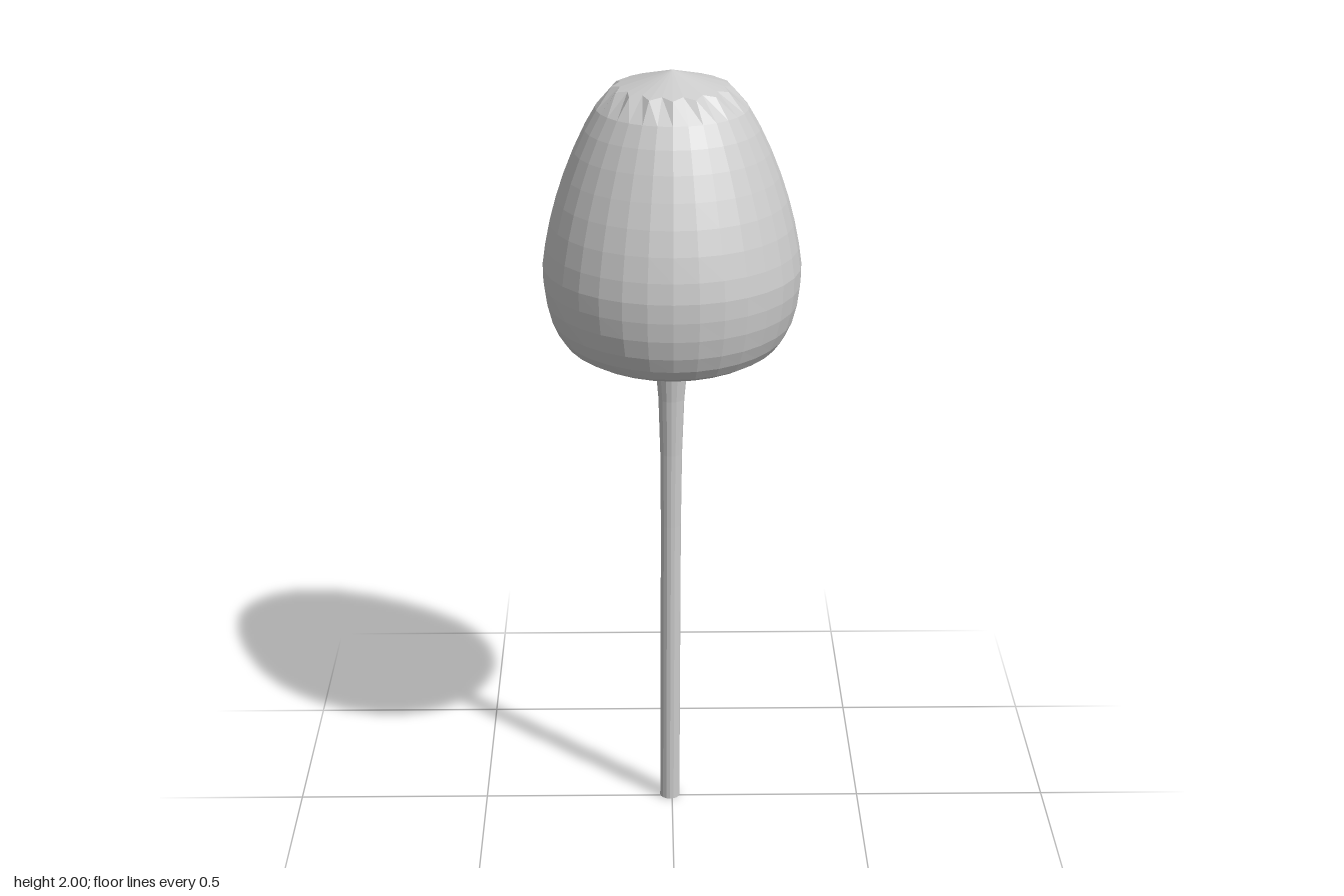
import * as THREE from 'three';

const SIDES = 32;
const v2 = (p) => p.map(([r, y]) => new THREE.Vector2(r, y));

function makeMesh(name, geometry) {
  const material = new THREE.MeshStandardMaterial({ color: 0xcccccc, flatShading: true, side: THREE.DoubleSide });
  const mesh = new THREE.Mesh(geometry, material);
  mesh.name = name;
  return mesh;
}

// Hollow cap: profile runs from the inner ceiling, down around the rim, up to the peak
function capGeometry() {
  const profile = v2([
    [0.06, 1.6], [0.15, 1.58], [0.21, 1.52], [0.245, 1.44], [0.258, 1.37], [0.25, 1.325],
    [0.235, 1.31], [0.25, 1.306], [0.27, 1.317], [0.287, 1.34], [0.303, 1.375], [0.315, 1.42],
    [0.321, 1.465], [0.322, 1.51], [0.315, 1.56], [0.303, 1.62], [0.287, 1.68], [0.267, 1.74],
    [0.243, 1.8], [0.217, 1.855], [0.188, 1.905], [0.147, 1.955], [0, 2],
  ]);
  const rows = profile.length;
  const geo = new THREE.LatheGeometry(profile, SIDES);
  const pos = geo.attributes.position;
  for (let i = 0; i < pos.count; i++) {
    const row = i % rows, segment = Math.floor(i / rows);
    let x = pos.getX(i), y = pos.getY(i), z = pos.getZ(i);
    const angle = (segment / SIDES) * Math.PI * 2;
    // pleats around the peak
    if (row === rows - 2 && segment % 2) {
      x *= 0.88; z *= 0.88; y += 0.006;
    }
    // lower wall swells to front and, more strongly, to the back
    const low = THREE.MathUtils.clamp((1.5 - y) / 0.2, 0, 1);
    z *= 1.025 + low * (z < 0 ? 0.1 : 0.04);
    // crown leans back while the peak stays centred
    if (row > 6 && row < rows - 1) z -= 0.013 * THREE.MathUtils.smoothstep(y, 1.5, 1.8);
    // rim dips at front and back
    y -= 0.012 * low * Math.cos(angle) ** 2;
    pos.setXYZ(i, x, y, z);
  }
  geo.computeVertexNormals();
  return geo;
}

// Slim stem flaring into the ceiling of the cap
function stemGeometry() {
  const profile = v2([
    [0, 0], [0.026, 0], [0.026, 0.4], [0.026, 0.8], [0.028, 1.0], [0.033, 1.15], [0.042, 1.25],
    [0.053, 1.31], [0.068, 1.38], [0.09, 1.45], [0.12, 1.52], [0.16, 1.58],
  ]);
  const geo = new THREE.LatheGeometry(profile, 16);
  const pos = geo.attributes.position;
  for (let i = 0; i < pos.count; i++) {
    // slight sideways drift toward the foot
    const drift = 0.006 * (1 - pos.getY(i) / 1.6);
    pos.setX(i, pos.getX(i) - drift);
    pos.setZ(i, pos.getZ(i) - drift);
  }
  geo.computeVertexNormals();
  return geo;
}

export function createModel() {
  const mushroom = new THREE.Group();
  mushroom.name = 'mushroom';
  mushroom.add(makeMesh('cap', capGeometry()), makeMesh('stem', stemGeometry()));
  return mushroom;
}
